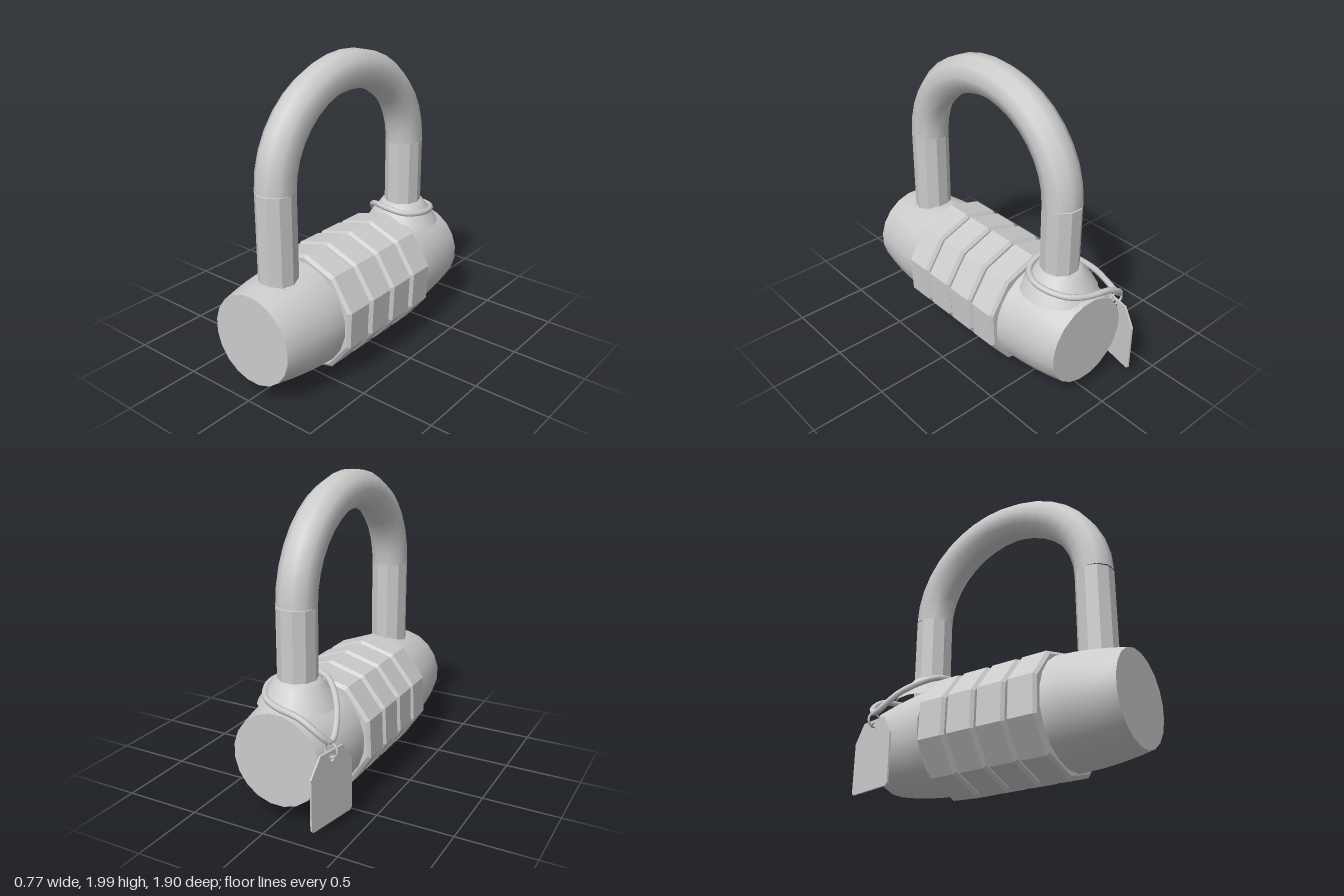
import * as THREE from 'three';
import { toCreasedNormals } from 'three/addons/utils/BufferGeometryUtils.js';

const AXIS_Y = 0.4;
const smooth = new THREE.MeshStandardMaterial({ color: 0xcccccc });
const flat = new THREE.MeshStandardMaterial({ color: 0xcccccc, flatShading: true });

function add(parent, name, geometry, material = smooth) {
  const mesh = new THREE.Mesh(geometry, material);
  mesh.name = name;
  parent.add(mesh);
  return mesh;
}

// Lathe whose axis lies along z; profile is [radius, z] with z rising
function latheZ(profile, sides, start) {
  const points = profile.map(([r, z]) => new THREE.Vector2(r, z));
  return new THREE.LatheGeometry(points, sides, start).rotateX(Math.PI / 2);
}

export function createModel() {
  const model = new THREE.Group();
  model.name = 'combinationPadlock';

  // Tapered end housings
  const housing = toCreasedNormals(latheZ([
    [0, 0], [0.355, 0], [0.348, 0.12], [0.335, 0.24], [0.317, 0.35], [0.297, 0.45], [0, 0.45],
  ], 20, Math.PI / 20), 0.6);
  add(model, 'frontHousing', housing).position.set(0, AXIS_Y, 0.5);
  const rear = add(model, 'rearHousing', housing);
  rear.position.set(0, AXIS_Y, -0.388);
  rear.rotation.y = Math.PI;

  // Inner core seen between the dials
  add(model, 'core', toCreasedNormals(latheZ([[0, -0.4], [0.335, -0.4], [0.335, 0.51], [0, 0.51]], 24, 0), 0.6))
    .position.y = AXIS_Y;

  // Ten-sided number dials with bevelled rims
  const dial = latheZ([
    [0, -0.102], [0.378, -0.102], [0.4, -0.085], [0.4, 0.085], [0.378, 0.102], [0, 0.102],
  ], 10, -0.045);
  for (let i = 0; i < 4; i++) {
    add(model, 'dial' + (i + 1), dial, flat).position.set(0, AXIS_Y, 0.388 - i * 0.2185);
  }

  // Shackle: two straight legs and an arch
  const midZ = 0.063, half = 0.637, springY = 1.28, rise = 0.595, r = 0.125;
  const shackle = new THREE.Group();
  shackle.name = 'shackle';
  model.add(shackle);
  const leg = new THREE.CylinderGeometry(r, r, springY - 0.5, 10, 1, false, Math.PI / 2);
  for (const side of [1, -1]) {
    add(shackle, side > 0 ? 'frontLeg' : 'rearLeg', leg, flat)
      .position.set(0, (springY + 0.5) / 2, midZ + side * half);
  }
  const archPoints = [];
  for (let i = 0; i <= 24; i++) {
    const a = Math.PI * i / 24;
    archPoints.push(new THREE.Vector3(0, springY + rise * Math.sin(a), midZ + half * Math.cos(a)));
  }
  add(shackle, 'arch', new THREE.TubeGeometry(new THREE.CatmullRomCurve3(archPoints), 18, r, 10));

  // Flared collar at the rear leg, rim at the front leg
  const collar = new THREE.LatheGeometry([
    [0.25, 0.68], [0.205, 0.755], [0.165, 0.8], [0.14, 0.835], [0.11, 0.84],
  ].map(([x, y]) => new THREE.Vector2(x, y)), 20);
  add(model, 'rearCollar', collar).position.z = midZ - half;
  add(model, 'frontRim', new THREE.CylinderGeometry(0.14, 0.14, 0.1, 20)).position.set(0, 0.655, midZ + half);

  // Wire loop hung round the rear leg
  const wire = [
    [0, 0.815, -0.395], [0.12, 0.795, -0.43], [0.185, 0.785, -0.53], [0.18, 0.77, -0.64],
    [0.11, 0.75, -0.76], [0, 0.735, -0.82], [-0.17, 0.71, -0.845], [-0.29, 0.63, -0.83],
    [-0.335, 0.57, -0.775], [-0.28, 0.7, -0.6], [-0.12, 0.81, -0.43],
  ].map(p => new THREE.Vector3(...p));
  add(model, 'wireLoop', new THREE.TubeGeometry(new THREE.CatmullRomCurve3(wire, true), 44, 0.02, 8, true));

  // Hanging tag with clipped corners and a hole
  const tag = new THREE.Group();
  tag.name = 'tag';
  tag.position.set(-0.335, 0, -0.77);
  tag.rotation.y = 1.38;
  model.add(tag);
  const outline = new THREE.Shape([
    [-0.17, 0.06], [0.17, 0.06], [0.183, 0.075], [0.183, 0.4], [0.1, 0.52],
    [-0.1, 0.52], [-0.183, 0.4], [-0.183, 0.075],
  ].map(p => new THREE.Vector2(...p)));
  outline.holes.push(new THREE.Path().absarc(0, 0.475, 0.025, 0, Math.PI * 2, true));
  const plate = new THREE.ExtrudeGeometry(outline, { depth: 0.012, bevelEnabled: false, curveSegments: 6 });
  add(tag, 'tagPlate', plate.translate(0, 0, -0.006), flat);
  const link = add(tag, 'tagLink', new THREE.TorusGeometry(0.045, 0.008, 6, 16));
  link.position.y = 0.52;
  link.rotation.y = Math.PI / 2;

  return model;
}
